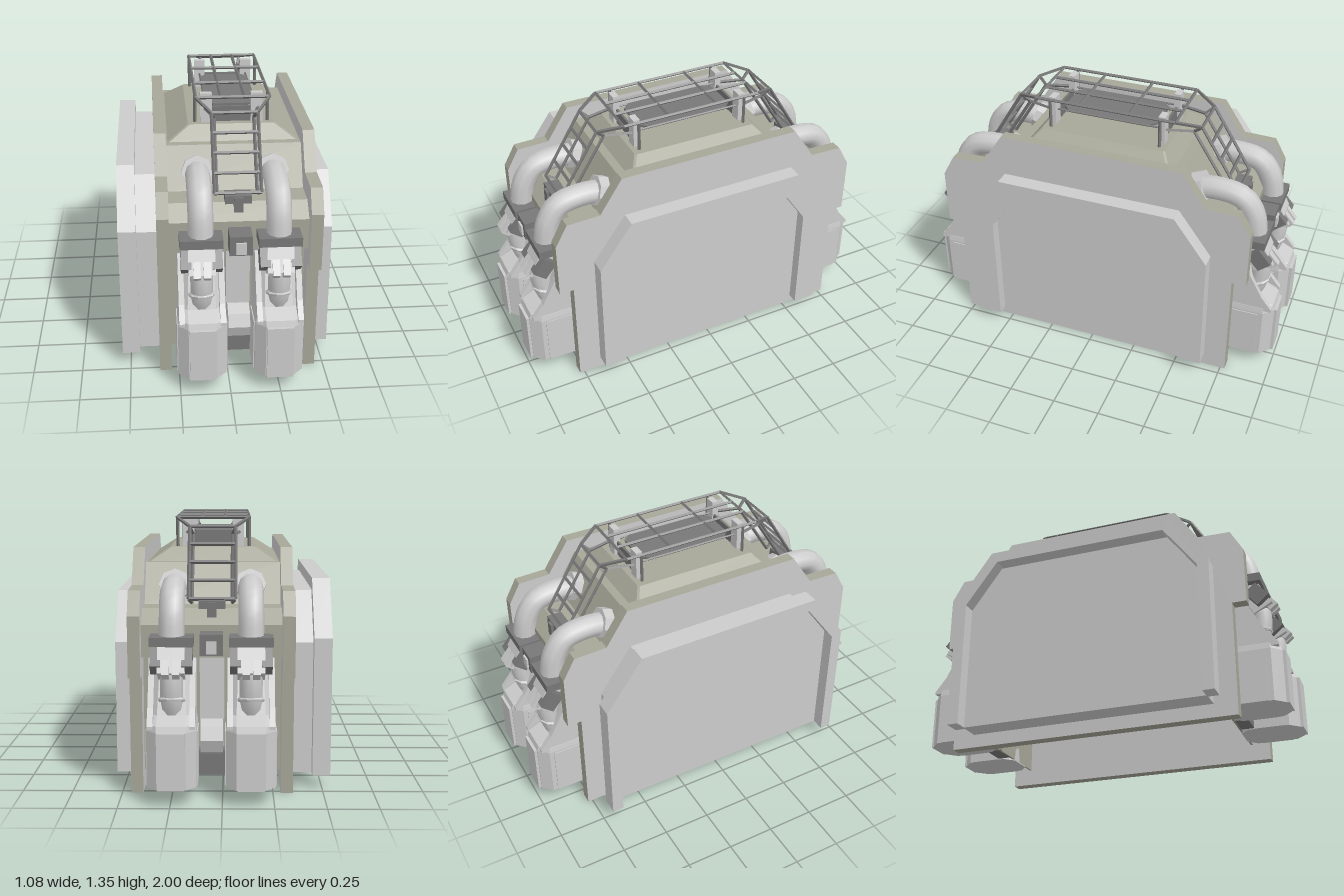
import * as THREE from 'three';

const grey = new THREE.MeshStandardMaterial({ color: 0xcccccc, flatShading: true });
const smooth = new THREE.MeshStandardMaterial({ color: 0xcccccc });
const olive = new THREE.MeshStandardMaterial({ color: 0xa6a698, flatShading: true });
const dark = new THREE.MeshStandardMaterial({ color: 0x777777, flatShading: true });

function add(parent, name, geometry, material, x = 0, y = 0, z = 0) {
  const mesh = new THREE.Mesh(geometry, material);
  mesh.name = name;
  mesh.position.set(x, y, z);
  parent.add(mesh);
  return mesh;
}

function box(parent, name, w, h, d, x, y, z, material = grey, tilt = 0) {
  const mesh = add(parent, name, new THREE.BoxGeometry(w, h, d), material, x, y, z);
  mesh.rotation.x = tilt;
  return mesh;
}

// Square-section bar between two points
function rod(parent, name, a, b, r = 0.009) {
  const p = new THREE.Vector3(...a), q = new THREE.Vector3(...b);
  const mesh = add(parent, name, new THREE.CylinderGeometry(r, r, p.distanceTo(q), 4), dark);
  mesh.position.copy(p).lerp(q, 0.5);
  mesh.quaternion.setFromUnitVectors(new THREE.Vector3(0, 1, 0), q.sub(p).normalize());
  return mesh;
}

// Half profile of [z, y] points, mirrored front to back
const mirrored = (half) => [...half, ...half.map(([z, y]) => [-z, y]).reverse()];

// Outline with an opening that reaches its lower edge
const arch = (outer, inner) => [...outer, ...[...inner].reverse()];

// Side profile in z and y, extruded from x0 to x1
function slab(parent, name, points, x0, x1, material) {
  const shape = new THREE.Shape(points.map(([z, y]) => new THREE.Vector2(-z, y)));
  const g = new THREE.ExtrudeGeometry(shape, { depth: x1 - x0, bevelEnabled: false });
  g.rotateY(Math.PI / 2);
  return add(parent, name, g, material, x0);
}

// Octagonal sections [y, halfWidth, zBack, zFront, cornerCut] joined upwards
function loft(sections) {
  const pos = [], idx = [];
  for (const [y, w, b, f, c] of sections) {
    for (const [x, z] of [[-w + c, f], [w - c, f], [w, f - c], [w, b + c],
      [w - c, b], [-w + c, b], [-w, b + c], [-w, f - c]]) pos.push(x, y, z);
  }
  const top = (sections.length - 1) * 8;
  for (let s = 0; s < top; s += 8) {
    for (let i = 0; i < 8; i++) {
      const j = (i + 1) % 8;
      idx.push(s + i, s + j, s + 8 + j, s + i, s + 8 + j, s + 8 + i);
    }
  }
  for (let i = 1; i < 7; i++) idx.push(top, top + i, top + i + 1, 0, i + 1, i);
  const g = new THREE.BufferGeometry();
  g.setAttribute('position', new THREE.Float32BufferAttribute(pos, 3));
  g.setIndex(idx);
  g.computeVertexNormals();
  return g;
}

function tube(parent, name, points, r) {
  const curve = new THREE.CatmullRomCurve3(points.map(([y, z]) => new THREE.Vector3(0, y, z)));
  return add(parent, name, new THREE.TubeGeometry(curve, 14, r, 10), smooth);
}

// One hose with its coupling and the pod it feeds
function hoseUnit(side) {
  const u = new THREE.Group();
  u.name = side > 0 ? 'leftHoseUnit' : 'rightHoseUnit';
  u.position.x = side * 0.19;
  const collar = add(u, 'hoseCollar', new THREE.CylinderGeometry(0.08, 0.08, 0.06, 8), grey, 0, 1.01, 0.53);
  collar.rotation.x = Math.PI / 2 - 0.35;
  tube(u, 'upperHose', [[1.0, 0.5], [1.015, 0.62], [0.99, 0.75], [0.91, 0.81], [0.78, 0.835]], 0.062);
  box(u, 'couplingFlange', 0.21, 0.045, 0.13, 0, 0.785, 0.84, dark);
  box(u, 'couplingBody', 0.13, 0.18, 0.11, 0, 0.7, 0.86, grey, -0.5);
  for (const s of [-1, 1]) {
    box(u, 'clampJaw', 0.05, 0.1, 0.08, s * 0.075, 0.69, 0.88, dark, -0.7);
    box(u, 'clampLug', 0.035, 0.08, 0.05, s * 0.025, 0.66, 0.93, grey, -0.7);
    // Cheeks either side of the hose inlet
    slab(u, 'podCheek', [[0.67, 0.38], [0.975, 0.38], [0.975, 0.395], [0.915, 0.47],
      [0.85, 0.59], [0.8, 0.69], [0.67, 0.69]], s * 0.1 - 0.014, s * 0.1 + 0.014, grey);
    box(u, 'podSideRib', 0.02, 0.27, 0.16, s * 0.115, 0.22, 0.83);
  }
  tube(u, 'lowerHose', [[0.68, 0.87], [0.59, 0.88], [0.5, 0.87], [0.4, 0.83]], 0.055);
  const ring = add(u, 'hoseRing', new THREE.TorusGeometry(0.055, 0.012, 6, 10), grey, 0, 0.5, 0.87);
  ring.rotation.x = 1.3;
  add(u, 'pod', loft([
    [0.085, 0.12, 0.67, 0.985, 0.05], [0.365, 0.12, 0.67, 0.985, 0.05],
    [0.395, 0.115, 0.67, 0.975, 0.045], [0.43, 0.1, 0.67, 0.9, 0.03],
    [0.69, 0.09, 0.67, 0.79, 0.03]]), grey);
  box(u, 'podFrontPanel', 0.13, 0.28, 0.05, 0, 0.225, 0.975);
  return u;
}

// Everything on one end of the body
function endAssembly(name) {
  const e = new THREE.Group();
  e.name = name;
  e.add(hoseUnit(1), hoseUnit(-1));

  // Central gear between the pods
  box(e, 'centreCoupling', 0.11, 0.1, 0.12, 0, 0.77, 0.84, dark);
  box(e, 'centreNose', 0.05, 0.06, 0.05, 0, 0.76, 0.885);
  box(e, 'centrePanel', 0.12, 0.36, 0.07, 0, 0.55, 0.705);
  const drum = add(e, 'centreDrum', new THREE.CylinderGeometry(0.09, 0.09, 0.11, 8), grey, 0, 0.29, 0.765);
  drum.rotation.z = Math.PI / 2;
  box(e, 'centreBase', 0.14, 0.12, 0.08, 0, 0.15, 0.71, dark);

  // Ladder running down from the roof rack
  for (const s of [-1, 1]) {
    rod(e, 'rackSlope', [s * 0.187, 1.345, 0.38], [s * 0.115, 1.305, 0.5]);
    rod(e, 'ladderRail', [s * 0.115, 1.305, 0.5], [s * 0.115, 0.965, 0.71]);
    rod(e, 'ladderInnerRail', [s * 0.1, 1.265, 0.455], [s * 0.1, 0.94, 0.66]);
    rod(e, 'ladderStay', [s * 0.115, 1.305, 0.5], [s * 0.1, 1.265, 0.455]);
    rod(e, 'ladderTie', [s * 0.1, 1.265, 0.455], [s * 0.14, 1.265, 0.3]);
    rod(e, 'ladderFoot', [s * 0.115, 0.965, 0.71], [s * 0.1, 0.94, 0.66]);
    box(e, 'rackPost', 0.06, 0.16, 0.035, s * 0.13, 1.265, 0.3);
    rod(e, 'rackUpright', [s * 0.187, 1.345, 0.3], [s * 0.187, 1.18, 0.3]);
  }
  for (let i = 0; i < 5; i++) {
    const t = i / 4, y = 1.305 - 0.34 * t, z = 0.5 + 0.21 * t;
    rod(e, 'ladderRung', [-0.115, y, z], [0.115, y, z]);
  }
  box(e, 'ladderBracket', 0.13, 0.04, 0.08, 0, 0.94, 0.7, dark);
  box(e, 'ladderHook', 0.045, 0.08, 0.04, 0, 0.915, 0.735, dark);
  box(e, 'trayEnd', 0.22, 0.09, 0.012, 0, 1.225, 0.295, dark);
  return e;
}

export function createModel() {
  const root = new THREE.Group();
  root.name = 'armouredModule';
  const core = new THREE.Group();
  core.name = 'core';
  core.position.x = 0.053;
  root.add(core);

  // Stepped hull shell, open underneath, and the two taller plates flanking it
  const shell = mirrored([[0.68, 0.09], [0.68, 0.69], [0.79, 0.69], [0.79, 0.85],
    [0.71, 0.92], [0.57, 0.92], [0.45, 1.12]]);
  const hollow = mirrored([[0.67, 0.09], [0.67, 0.7], [0.78, 0.7], [0.78, 0.845],
    [0.706, 0.91], [0.564, 0.91], [0.444, 1.11]]);
  slab(core, 'hull', arch(shell, hollow), -0.345, 0.345, olive);
  const plate = mirrored([[0.775, 0], [0.775, 0.6], [0.85, 0.6], [0.85, 0.9],
    [0.785, 1.015], [0.61, 1.02], [0.49, 1.2]]);
  for (const s of [-1, 1]) {
    slab(core, s > 0 ? 'leftSidePlate' : 'rightSidePlate', plate, s * 0.372 - 0.03, s * 0.372 + 0.03, [grey, olive]);
  }

  // Raised roof with sloping sides
  add(core, 'roof', loft([[1.115, 0.34, -0.41, 0.41, 0.01], [1.19, 0.225, -0.34, 0.34, 0.01]]), olive);

  // Roof rack and the tray beneath it
  for (const x of [-0.187, -0.06, 0.06, 0.187]) rod(core, 'rackRail', [x, 1.345, -0.38], [x, 1.345, 0.38]);
  for (const z of [-0.38, -0.135, 0.135, 0.38]) rod(core, 'rackCrossbar', [-0.187, 1.345, z], [0.187, 1.345, z]);
  add(core, 'rackTray', loft([[1.26, 0.13, -0.26, 0.26, 0.04], [1.272, 0.13, -0.26, 0.26, 0.04]]), dark);
  for (const s of [-1, 1]) rod(core, 'trayRail', [s * 0.13, 1.267, -0.3], [s * 0.13, 1.267, 0.3], 0.006);

  // Matching equipment on both ends
  const front = endAssembly('frontEnd');
  const back = endAssembly('backEnd');
  back.rotation.y = Math.PI;
  core.add(front, back);

  // Side armour: recessed panel inside an arched frame
  const outer = mirrored([[0.655, 0.07], [0.655, 0.74], [0.48, 0.98]]);
  const inner = mirrored([[0.535, 0.07], [0.535, 0.685], [0.42, 0.85]]);
  slab(root, 'leftArmourPanel', outer, 0.45, 0.48, grey);
  slab(root, 'leftArmourFrame', arch(outer, inner), 0.47, 0.537, grey);

  // The other side has a thicker panel and a slimmer, larger frame
  const wide = mirrored([[0.71, 0.07], [0.71, 0.77], [0.51, 1.045]]);
  const slim = mirrored([[0.65, 0.07], [0.65, 0.75], [0.475, 0.985]]);
  slab(root, 'rightArmourPanel', outer, -0.47, -0.34, grey);
  slab(root, 'rightArmourFrame', arch(wide, slim), -0.54, -0.45, grey);
  return root;
}
